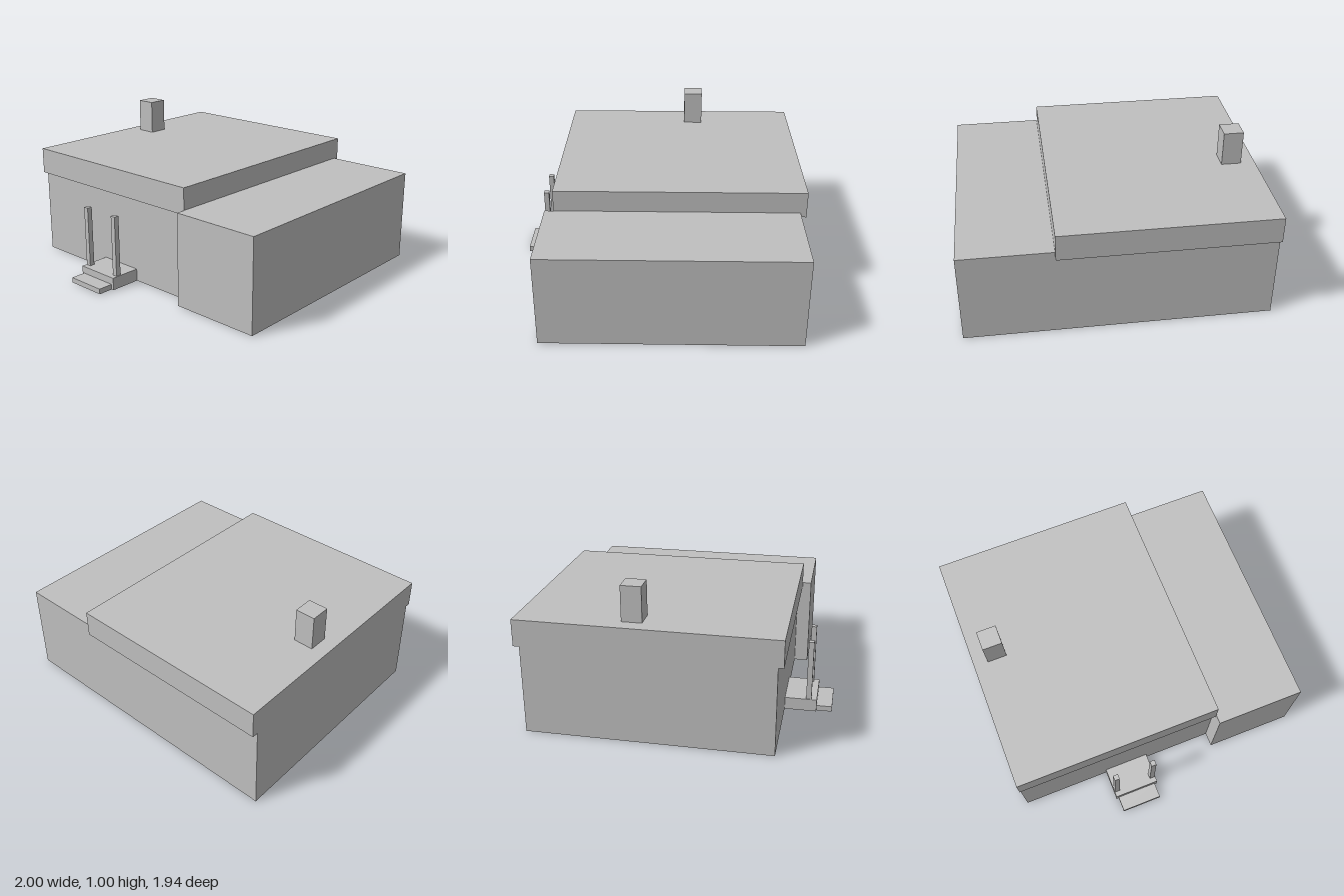
import * as THREE from 'three';

const grey = new THREE.MeshStandardMaterial({ color: 0xc0c0c0 });
grey.name = 'plain grey';

// Box given by its extents along each axis
function block(name, [x0, x1], [y0, y1], [z0, z1]) {
  const mesh = new THREE.Mesh(new THREE.BoxGeometry(x1 - x0, y1 - y0, z1 - z0), grey);
  mesh.position.set((x0 + x1) / 2, (y0 + y1) / 2, (z0 + z1) / 2);
  mesh.name = name;
  return mesh;
}

export function createModel() {
  const house = new THREE.Group();
  house.name = 'house';

  // Main volume, overhanging flat roof and chimney
  house.add(
    block('mainWalls', [-1, 0.4], [0, 0.588], [-0.93, 0.658]),
    block('flatRoof', [-1, 0.4], [0.588, 0.764], [-0.97, 0.692]),
    block('chimney', [-0.904, -0.772], [0.764, 0.996], [-0.305, -0.174]),
  );

  // Lower side wing
  house.add(block('sideWing', [0.4, 1], [0, 0.619], [-0.93, 0.752]));

  // Entrance porch with a step and two posts
  const porch = new THREE.Group();
  porch.name = 'porch';
  porch.add(
    block('landing', [-0.392, -0.08], [0, 0.084], [0.658, 0.868]),
    block('step', [-0.376, -0.098], [0, 0.036], [0.868, 0.97]),
  );
  for (const [side, x] of [['right', -0.37], ['left', -0.104]]) {
    porch.add(block(side + 'Post', [x - 0.0175, x + 0.0175], [0.084, 0.496], [0.797, 0.832]));
  }
  house.add(porch);

  return house;
}
